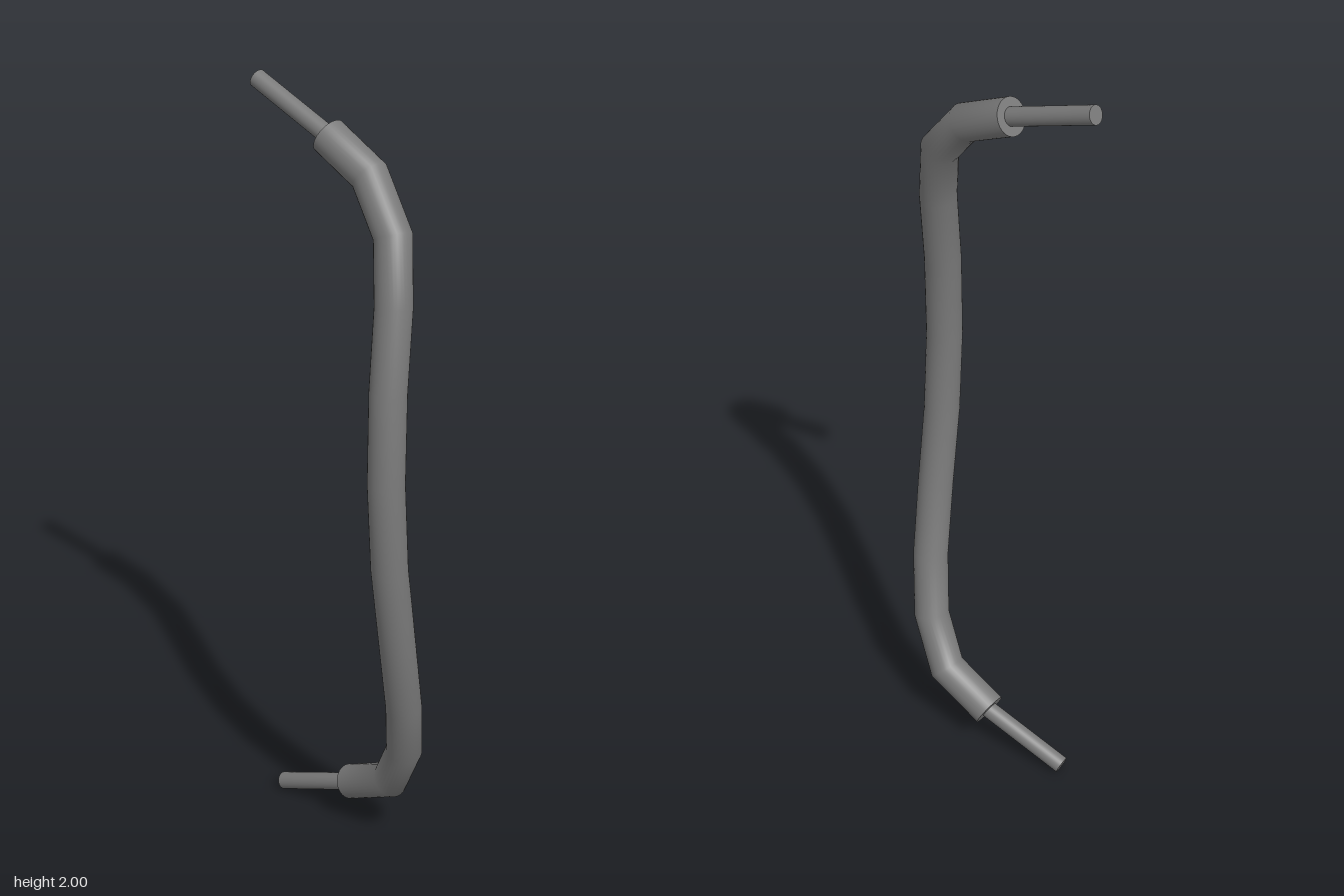
import * as THREE from 'three';

const V = (x, y, z) => new THREE.Vector3(x, y, z);
const SIDES = 32;

// Round sleeve swept along a polyline, with mitred rings at the bends
function sweep(pts, radius) {
  const dirs = pts.slice(1).map((p, i) => p.clone().sub(pts[i]).normalize());
  const first = dirs[0];
  const u = V(1, 0, 0).addScaledVector(first, -first.x).normalize();
  const v = first.clone().cross(u);
  let ring = [];
  for (let j = 0; j <= SIDES; j++) {
    const a = (j / SIDES) * Math.PI * 2;
    ring.push(pts[0].clone().addScaledVector(u, radius * Math.cos(a)).addScaledVector(v, radius * Math.sin(a)));
  }
  const pos = [], nor = [], idx = [];
  const n = SIDES + 1;
  pts.forEach((p, i) => {
    const along = dirs[Math.max(i - 1, 0)];
    const next = dirs[Math.min(i, dirs.length - 1)];
    const plane = along.clone().add(next).normalize();
    // slide the previous ring along its segment onto the mitre plane
    if (i > 0) {
      ring = ring.map(q => q.clone().addScaledVector(along, p.clone().sub(q).dot(plane) / along.dot(plane)));
    }
    ring.forEach(q => {
      const d = q.clone().sub(p).normalize();
      pos.push(q.x, q.y, q.z);
      nor.push(d.x, d.y, d.z);
    });
    if (i > 0) {
      for (let j = 0; j < SIDES; j++) {
        const a = (i - 1) * n + j, b = a + n;
        idx.push(a, a + 1, b, a + 1, b + 1, b);
      }
    }
  });
  // flat end caps
  [[0, -1], [pts.length - 1, 1]].forEach(([k, s]) => {
    const d = s < 0 ? dirs[0] : dirs[dirs.length - 1];
    const base = pos.length / 3;
    const put = (x, y, z) => { pos.push(x, y, z); nor.push(d.x * s, d.y * s, d.z * s); };
    put(pts[k].x, pts[k].y, pts[k].z);
    for (let j = 0; j < n; j++) {
      const o = (k * n + j) * 3;
      put(pos[o], pos[o + 1], pos[o + 2]);
    }
    for (let j = 1; j < n; j++) {
      if (s > 0) idx.push(base, base + j, base + j + 1);
      else idx.push(base, base + j + 1, base + j);
    }
  });
  const g = new THREE.BufferGeometry();
  g.setAttribute('position', new THREE.Float32BufferAttribute(pos, 3));
  g.setAttribute('normal', new THREE.Float32BufferAttribute(nor, 3));
  g.setIndex(idx);
  return g;
}

export function createModel() {
  const group = new THREE.Group();
  const mat = new THREE.MeshStandardMaterial({ color: 0x7a7a7a });

  // Centre line of the bent cable, bottom to top
  const path = [
    V(0.039, 0.109, -0.034), V(0.063, 0.18, 0.106), V(0.05, 0.315, 0.18),
    V(0.016, 0.475, 0.22), V(-0.022, 0.68, 0.24), V(-0.053, 0.9, 0.247),
    V(-0.064, 1.13, 0.246), V(-0.052, 1.36, 0.235), V(-0.022, 1.56, 0.214),
    V(0.004, 1.715, 0.175), V(0.012, 1.83, 0.075), V(-0.009, 1.893, -0.056),
  ];
  const add = (name, geometry) => {
    const mesh = new THREE.Mesh(geometry, mat);
    mesh.name = name;
    group.add(mesh);
  };
  add('cableSleeve', sweep(path, 0.0455));

  // Bare cores sticking out of both ends, seated a little inside the sleeve
  const core = (name, from, to) => {
    const inner = from.clone().addScaledVector(to.clone().sub(from).normalize(), -0.03);
    add(name, sweep([inner, to], 0.0225));
  };
  core('lowerCore', path[0], V(-0.022, 0.022, -0.248));
  core('upperCore', path[path.length - 1], V(-0.05, 1.979, -0.283));
  return group;
}
